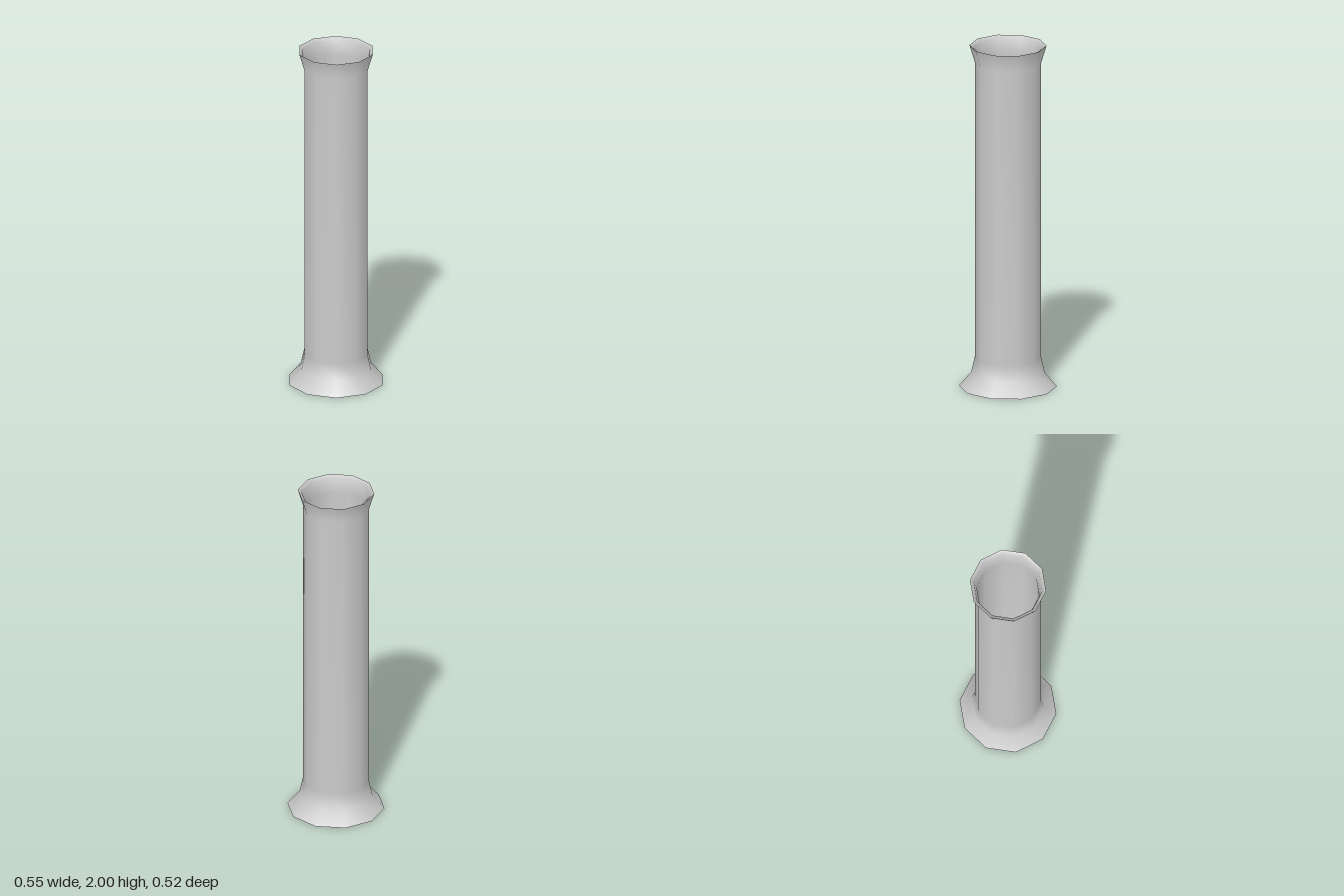
import * as THREE from 'three';

const SIDES = 10;

// Ten-sided turned surface; the profile runs upward on the outside, downward on the inside.
function turned(name, profile, material) {
  const points = profile.map(([r, y]) => new THREE.Vector2(r, y));
  const mesh = new THREE.Mesh(new THREE.LatheGeometry(points, SIDES, Math.PI / 2), material);
  mesh.name = name;
  return mesh;
}

export function createModel() {
  const group = new THREE.Group();
  group.name = 'tallVase';
  const material = new THREE.MeshStandardMaterial({ color: 0xcccccc });

  // Flared foot, straight shaft and flared mouth
  group.add(turned('outerWall', [
    [0.275, 0], [0.207, 0.08], [0.187, 0.17], [0.187, 1.9], [0.217, 2],
  ], material));

  // Bevelled lip, hollow bore and floor
  group.add(turned('innerWall', [
    [0.217, 2], [0.195, 1.985], [0.178, 1.9], [0.178, 0.1], [0, 0.1],
  ], material));

  // Closed underside
  const underside = new THREE.Mesh(new THREE.CircleGeometry(0.275, SIDES), material);
  underside.rotation.x = Math.PI / 2;
  underside.name = 'underside';
  group.add(underside);

  return group;
}
